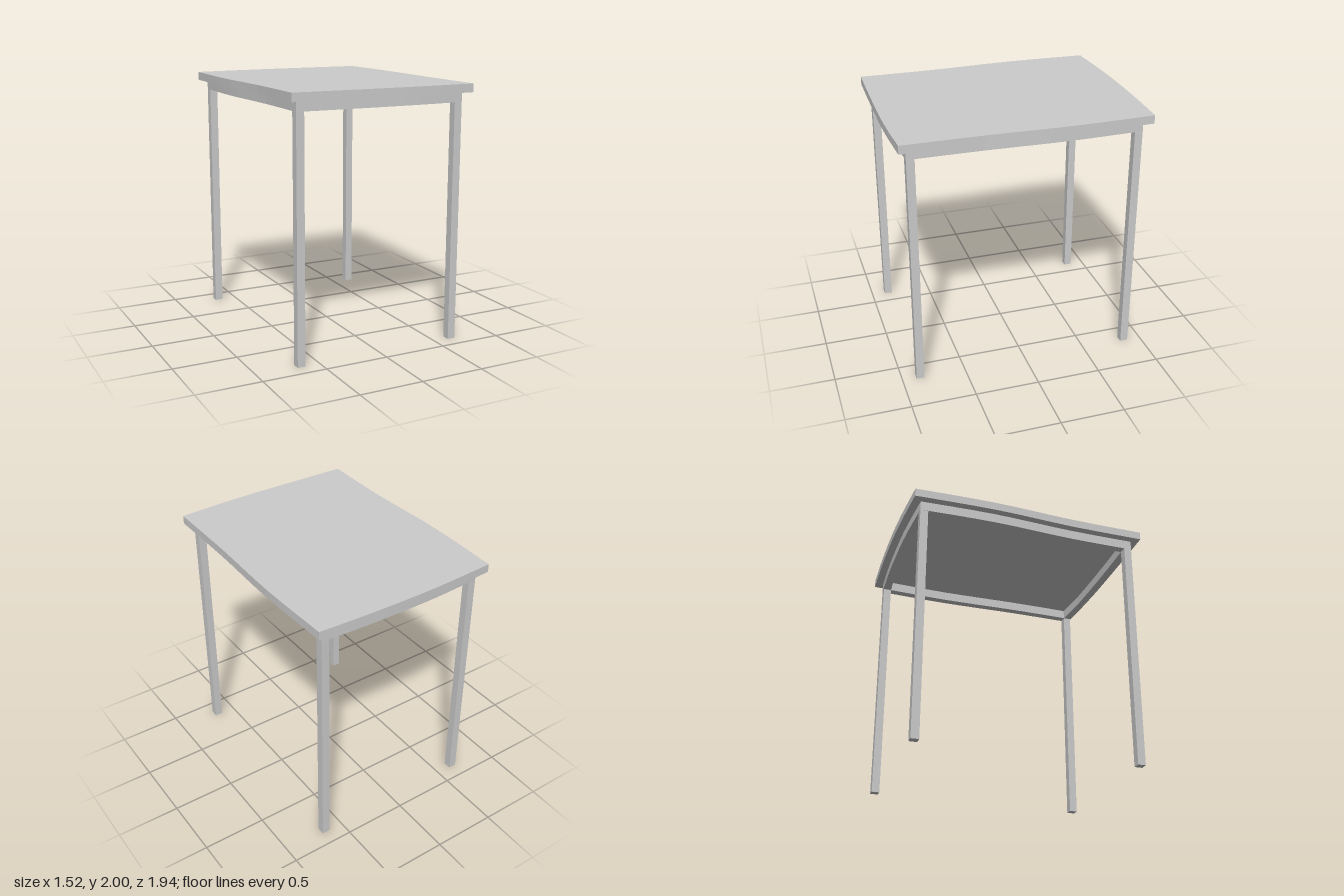
import * as THREE from 'three';

const material = new THREE.MeshStandardMaterial({ color: 0xcccccc });

const TOP_Y = 2, UNDER_Y = 1.935, APRON_Y = 1.86;
const HALF_X = 0.74, HALF_Z = 0.95, INSET = 0.06, BAR = 0.062;

// Gently wavy outline in (x, z), pulled inwards by the given inset
function outline(inset) {
  const cx = HALF_X - inset, cz = HALF_Z - inset;
  const side = (...pts) => new THREE.SplineCurve(pts.map(([x, z]) => new THREE.Vector2(x, z))).getPoints(12).slice(0, -1);
  return [
    ...side([-cx, -cz], [-0.22, -0.974 + inset], [0.3, -0.97 + inset], [cx, -cz]),
    ...side([cx, -cz], [0.757 - inset, -0.32], [0.74 - inset, 0.33], [cx, cz]),
    ...side([cx, cz], [0.3, 0.968 - inset], [-0.22, 0.963 - inset], [-cx, cz]),
    ...side([-cx, cz], [-0.735 + inset, 0.35], [-0.76 + inset, -0.3], [-cx, -cz]),
  ];
}

// Horizontal slab whose shape lies in the x-z plane
function slab(name, shape, top, bottom) {
  const geometry = new THREE.ExtrudeGeometry(shape, { depth: top - bottom, bevelEnabled: false });
  geometry.rotateX(Math.PI / 2);
  const mesh = new THREE.Mesh(geometry, material);
  mesh.name = name;
  mesh.position.y = top;
  return mesh;
}

export function createModel() {
  const table = new THREE.Group();
  table.name = 'table';

  // Table top
  table.add(slab('tableTop', new THREE.Shape(outline(0)), TOP_Y, UNDER_Y));

  // Apron: a ring following the edge of the top
  const ring = new THREE.Shape(outline(INSET));
  ring.holes.push(new THREE.Path(outline(INSET + BAR).reverse()));
  table.add(slab('apron', ring, UNDER_Y, APRON_Y));

  // Four square legs, flush with the apron corners
  const legGeometry = new THREE.BoxGeometry(BAR, UNDER_Y, BAR);
  for (const [z, end] of [[1, 'front'], [-1, 'back']]) {
    for (const [x, hand] of [[1, 'Left'], [-1, 'Right']]) {
      const leg = new THREE.Mesh(legGeometry, material);
      leg.name = `${end}${hand}Leg`;
      leg.position.set(x * (HALF_X - INSET - BAR / 2), UNDER_Y / 2, z * (HALF_Z - INSET - BAR / 2));
      table.add(leg);
    }
  }
  return table;
}
